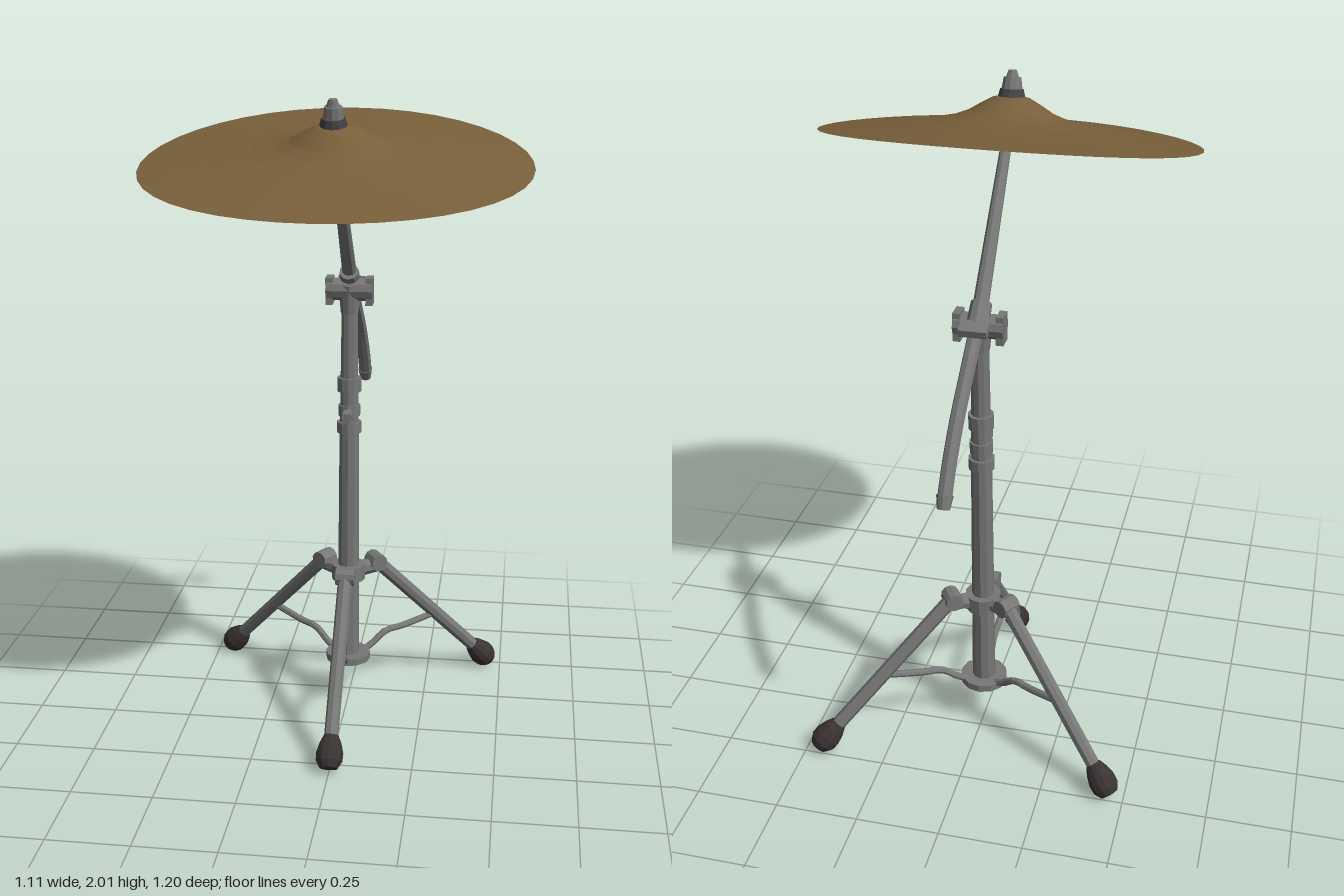
import * as THREE from 'three';

const V = (x, y, z) => new THREE.Vector3(x, y, z);

export function createModel() {
  const root = new THREE.Group();
  const make = (name, color, extra = {}) => {
    const m = new THREE.MeshStandardMaterial({ color, flatShading: true, ...extra });
    m.name = name;
    return m;
  };
  const steel = make('steel', 0x777777);
  const rubber = make('rubber', 0x3a3233);
  const darkSteel = make('darkSteel', 0x444447);
  const brass = make('brass', 0x785f3a, { side: THREE.DoubleSide });

  const add = (name, geometry, material, parent = root) => {
    const mesh = new THREE.Mesh(geometry, material);
    mesh.name = name;
    parent.add(mesh);
    return mesh;
  };
  // Tapered rod from a (radius ra) to b (radius rb)
  const bar = (name, a, b, ra, rb = ra, material = steel, sides = 10, parent = root) => {
    const d = b.clone().sub(a);
    const mesh = add(name, new THREE.CylinderGeometry(rb, ra, d.length(), sides), material, parent);
    mesh.position.copy(a).add(b).multiplyScalar(0.5);
    mesh.quaternion.setFromUnitVectors(V(0, 1, 0), d.normalize());
    return mesh;
  };
  const tube = (name, points, radius, parent = root) =>
    add(name, new THREE.TubeGeometry(new THREE.CatmullRomCurve3(points), 12, radius, 8), steel, parent);

  // Column, very slightly leaning back
  const column = (y) => V(0, y, -0.192 - 0.021 * y);
  const ring = (name, y0, y1, r) => bar(name, column(y0), column(y1), r, r, steel, 12);
  bar('lowerColumn', column(0.15), column(0.96), 0.036, 0.031);
  bar('upperColumn', column(0.95), column(1.36), 0.03, 0.025);
  ring('basePlate', 0.14, 0.163, 0.073);
  ring('hub', 0.425, 0.475, 0.055);
  ring('lowerCollar', 0.925, 0.96, 0.039);
  ring('middleCollar', 0.98, 1.015, 0.035);
  ring('upperCollar', 1.06, 1.105, 0.038);

  // Height screw with flat grip
  bar('heightScrew', V(0, 0.995, -0.2), V(0, 0.995, -0.14), 0.016);
  const grip = add('heightGrip', new THREE.BoxGeometry(0.022, 0.034, 0.04), steel);
  grip.position.set(0, 0.996, -0.135);

  // Tripod: hinge, leg, rubber foot and curved brace
  const legs = [
    ['front', V(0, 0.465, -0.115), V(0, 0.045, 0.275)],
    ['left', V(0.085, 0.47, -0.25), V(0.435, 0.045, -0.475)],
    ['right', V(-0.085, 0.47, -0.25), V(-0.435, 0.045, -0.475)],
  ];
  const footProfile = [[0, -0.052], [0.028, -0.047], [0.041, -0.025], [0.042, 0], [0.034, 0.03], [0.023, 0.054], [0, 0.056]]
    .map(([r, y]) => new THREE.Vector2(r, y));
  for (const [side, top, end] of legs) {
    const leg = new THREE.Group();
    leg.name = side + 'Leg';
    root.add(leg);
    const up = top.clone().sub(end).normalize();
    const out = V(end.x, 0, end.z + 0.2).normalize();
    const across = V(-out.z, 0, out.x).multiplyScalar(0.03);
    bar('legTube', end, top, 0.022, 0.023, steel, 8, leg);
    bar('hinge', top.clone().sub(across), top.clone().add(across), 0.028, 0.028, steel, 10, leg);
    const inner = V(0, 0.45, -0.2);
    bar('hingeArm', inner, top.clone().setY(0.455), 0.028, 0.024, steel, 8, leg);
    const foot = add('foot', new THREE.LatheGeometry(footProfile, 12), rubber, leg);
    foot.position.copy(end).addScaledVector(up, 0.005);
    foot.quaternion.setFromUnitVectors(V(0, 1, 0), up);
    const base = (r, y) => V(out.x * r, y, -0.197 + out.z * r);
    tube('brace', [base(0.05, 0.152), base(0.085, 0.168), base(0.14, 0.207), base(0.2, 0.213),
      end.clone().lerp(top, 0.45)], 0.011, leg);
  }

  // Tilter joint
  bar('tilterBarrel', V(-0.072, 1.385, -0.22), V(0.072, 1.385, -0.22), 0.035);
  bar('tilterNeck', V(0, 1.31, -0.22), V(0, 1.4, -0.22), 0.028, 0.036);
  bar('boomClamp', V(0, 1.445, -0.2), V(0, 1.375, -0.265), 0.03, 0.034);
  const wing = add('clampWing', new THREE.BoxGeometry(0.08, 0.022, 0.05), steel);
  wing.position.set(0, 1.402, -0.285);
  wing.rotation.x = -0.25;
  for (const s of [-1, 1]) {
    const cap = add('tilterCap', new THREE.BoxGeometry(0.022, 0.085, 0.05), steel);
    cap.position.set(s * 0.062, 1.382, -0.22);
  }

  // Boom arm: straight rod forward, drooping tail behind
  bar('boomRod', V(0, 1.4, -0.245), V(0, 1.86, 0.137), 0.023, 0.015);
  tube('boomTail', [V(0, 1.42, -0.225), V(0.003, 1.31, -0.345), V(0.008, 1.2, -0.45),
    V(0.012, 1.09, -0.528), V(0.012, 1.02, -0.572)], 0.021);
  bar('tailCap', V(0.012, 1.035, -0.564), V(0.012, 1.0, -0.582), 0.024, 0.018);

  // Cymbal, tilted towards the front
  const head = new THREE.Group();
  head.name = 'cymbalHead';
  head.position.set(0, 1.83, 0.137);
  head.rotation.x = 0.203;
  root.add(head);
  const profile = [[0.472, 0], [0.4, 0.006], [0.31, 0.014], [0.2, 0.028], [0.14, 0.041], [0.105, 0.056],
    [0.075, 0.077], [0.045, 0.096], [0.012, 0.106]].map(([r, y]) => new THREE.Vector2(r, y));
  const disc = new THREE.LatheGeometry(profile, 40);
  const p = disc.attributes.position;
  for (let i = 0; i < p.count; i++) {
    // Widened sideways, with the sides drooping slightly
    const x = p.getX(i) * 1.172;
    p.setXYZ(i, x, p.getY(i) - 0.06 * x * x, p.getZ(i));
  }
  disc.computeVertexNormals();
  add('cymbal', disc, brass, head);

  // Seat below and fastening above the cymbal
  bar('seatWasher', V(0, 0.02, 0), V(0, 0.05, 0), 0.065, 0.06, steel, 12, head);
  bar('seatSleeve', V(0, 0.04, 0), V(0, 0.11, 0), 0.025, 0.02, steel, 10, head);
  bar('felt', V(0, 0.094, 0), V(0, 0.12, 0), 0.041, 0.034, darkSteel, 12, head);
  bar('topNut', V(0, 0.118, 0), V(0, 0.152, 0), 0.03, 0.025, steel, 10, head);
  bar('threadEnd', V(0, 0.15, 0), V(0, 0.172, 0), 0.02, 0.012, steel, 8, head);
  return root;
}
